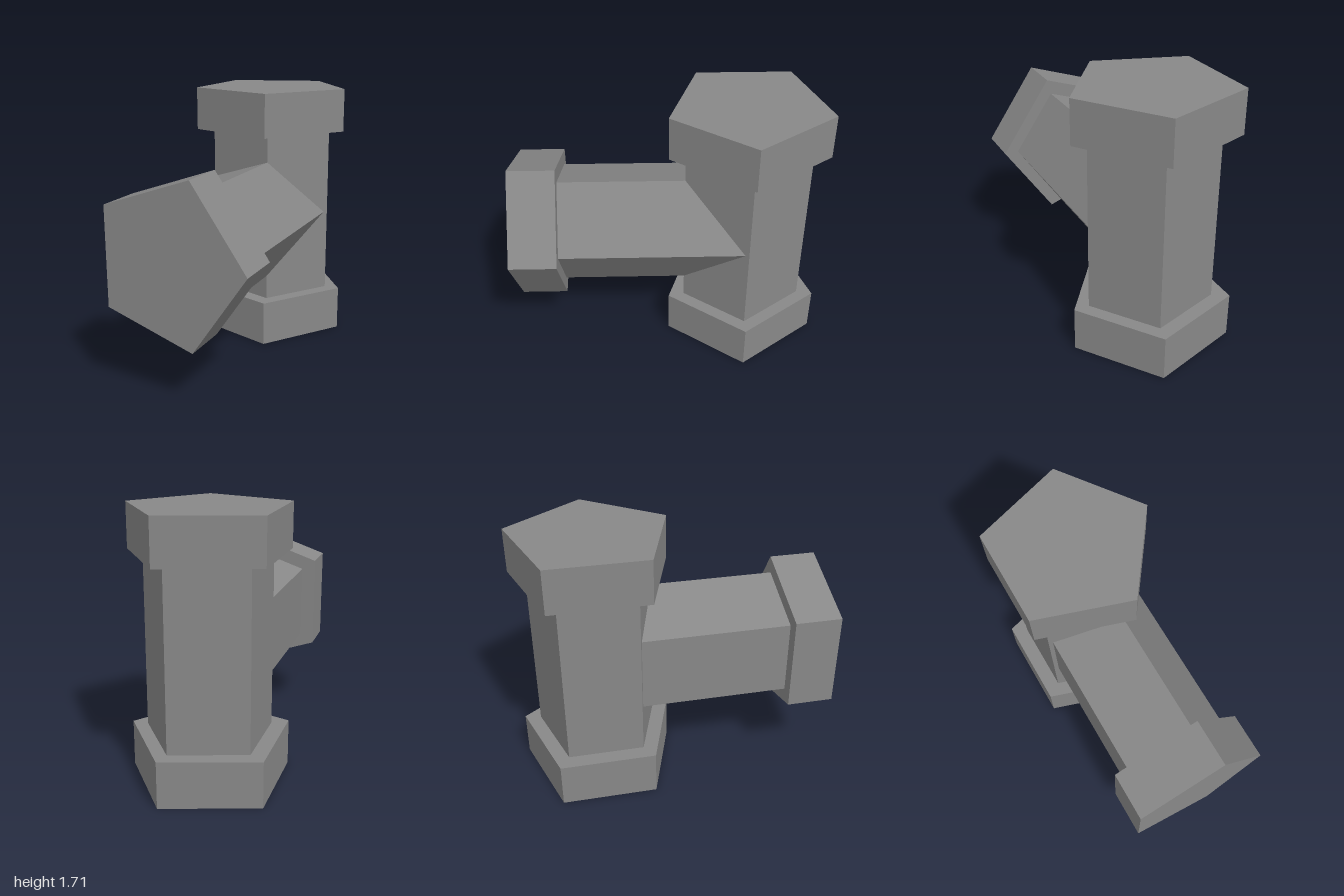
import * as THREE from 'three';

export function createModel() {
  const model = new THREE.Group();
  model.name = 'pipeTee';
  const grey = new THREE.MeshStandardMaterial({ color: 0x888888, flatShading: true });
  grey.name = 'grey';

  // Five-sided prism along y with one corner pointing to +x
  const prism = (rx, rz, length) =>
    new THREE.CylinderGeometry(1, 1, length, 5, 1, false, Math.PI / 2).scale(rx, 1, rz);

  const add = (name, geometry, x, y, z) => {
    const mesh = new THREE.Mesh(geometry, grey);
    mesh.name = name;
    mesh.position.set(x, y, z);
    model.add(mesh);
  };

  // Upright pipe with a collar at each end
  const pipeZ = -0.5;
  add('uprightPipe', prism(0.416, 0.416, 1.2), -0.041, 0.86, pipeZ);
  add('bottomCollar', prism(0.5257, 0.5257, 0.297), -0.05, 0.1485, pipeZ);
  add('topCollar', prism(0.5257, 0.5257, 0.285), -0.05, 1.5675, pipeZ);

  // Branch pipe running forward out of the upright, with its collar
  const branchY = 0.855;
  add('branchPipe', prism(0.392, 0.4153, 1.24).rotateX(Math.PI / 2), -0.033, branchY, 0.12);
  add('branchCollar', prism(0.495, 0.5257, 0.3).rotateX(Math.PI / 2), -0.04, branchY, 0.85);

  return model;
}
